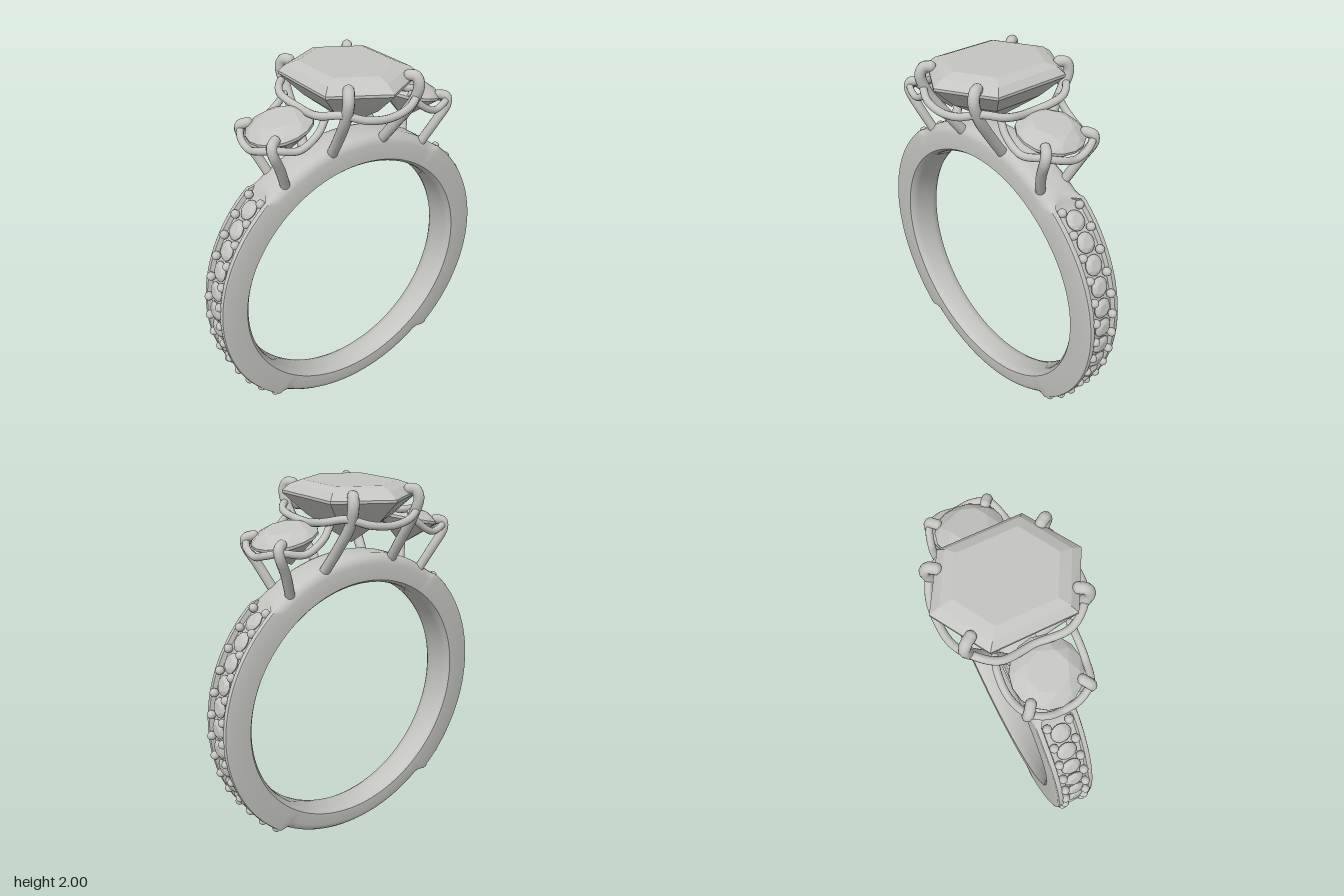
import * as THREE from 'three';
import { toCreasedNormals } from 'three/addons/utils/BufferGeometryUtils.js';
import { ConvexGeometry } from 'three/addons/geometries/ConvexGeometry.js';

const metal = new THREE.MeshStandardMaterial({ color: 0xc4c4c0 });
metal.name = 'pale grey';
const CY = 0.81; // centre height of the finger hole
const V = (x, y, z) => new THREE.Vector3(x, y, z);

function add(parent, name, geometry) {
  const mesh = new THREE.Mesh(geometry, metal);
  mesh.name = name;
  parent.add(mesh);
  return mesh;
}

// Band: a closed cross-section swept round the hole, with a channel for the small stones
function bandSection(theta) {
  const rise = Math.sin(theta);
  const elevation = THREE.MathUtils.radToDeg(Math.asin(THREE.MathUtils.clamp(rise, -1, 1)));
  const solid = THREE.MathUtils.smoothstep(Math.abs(elevation), 50, 53);
  const w = Math.min(0.11, 0.08 + 0.022 * (CY + 0.81 * rise));
  const R = rise > 0 ? 0.825 : 0.81;
  const plain = [[R - 0.05, w], [R - 0.025, w - 0.008], [R - 0.009, w - 0.025], [R, w - 0.05], [R, 0.015], [R, 0]];
  const channel = [[0.815, w], [0.826, w - 0.004], [0.83, w - 0.012], [0.828, w - 0.028], [0.805, w - 0.034], [0.805, 0]];
  const outer = plain.map((p, i) => p.map((v, k) => THREE.MathUtils.lerp(channel[i][k], v, solid)));
  const half = [[0.67, 0], [0.67, w - 0.045], [0.675, w - 0.02], [0.69, w], ...outer];
  return [...half, ...half.slice(1, -1).reverse().map(([r, z]) => [r, -z])];
}

function bandGeometry(steps = 180) {
  const positions = [], index = [];
  let n = 0;
  for (let i = 0; i < steps; i++) {
    const t = (i / steps) * Math.PI * 2;
    const section = bandSection(t);
    n = section.length;
    for (const [r, z] of section) positions.push(r * Math.cos(t), CY + r * Math.sin(t), z);
  }
  for (let i = 0; i < steps; i++) {
    for (let j = 0; j < n; j++) {
      const k = (j + 1) % n, next = (i + 1) % steps;
      const a = i * n + j, c = i * n + k, b = next * n + j, d = next * n + k;
      index.push(a, c, b, c, d, b);
    }
  }
  const g = new THREE.BufferGeometry();
  g.setAttribute('position', new THREE.Float32BufferAttribute(positions, 3));
  g.setIndex(index);
  return toCreasedNormals(g, 0.75);
}

// Faceted round stone, girdle at the origin, table facing +y
function roundGem(r, crown, depth) {
  const pts = [V(0, -depth, 0)];
  const ring = (count, radius, y, turn) => {
    for (let i = 0; i < count; i++) {
      const a = ((i + turn) / count) * Math.PI * 2;
      pts.push(V(radius * Math.cos(a), y, radius * Math.sin(a)));
    }
  };
  ring(8, r * 0.58, crown, 0);
  ring(8, r * 0.84, crown * 0.62, 0.5);
  ring(16, r, 0.04 * r, 0);
  ring(16, r, -0.04 * r, 0);
  return new ConvexGeometry(pts);
}

// Step-cut hexagonal stone: each level is [y, half width, shoulder z, tip z]
function hexGem(levels) {
  const pts = [];
  for (const [y, x, s, tip] of levels) {
    for (const m of [-1, 1]) pts.push(V(x, y, m * s), V(-x, y, m * s), V(0, y, m * tip));
  }
  return new ConvexGeometry(pts);
}

// Round wire through points, with rounded ends when open
function wire(parent, name, points, radius, closed = false) {
  const curve = new THREE.CatmullRomCurve3(points, closed);
  const group = new THREE.Group();
  group.name = name;
  parent.add(group);
  add(group, name + 'Wire', new THREE.TubeGeometry(curve, points.length * 10, radius, 12, closed));
  if (!closed) {
    for (const p of [points[0], points[points.length - 1]]) {
      add(group, name + 'End', new THREE.SphereGeometry(radius, 12, 8)).position.copy(p);
    }
  }
}

export function createModel() {
  const model = new THREE.Group();
  model.name = 'threeStoneRing';
  add(model, 'band', bandGeometry());

  // Small stones and bead prongs along both flanks
  const smallGem = roundGem(0.052, 0.018, 0.04);
  const bead = new THREE.SphereGeometry(0.023, 12, 8);
  for (const side of [1, -1]) {
    const flank = new THREE.Group();
    flank.name = side > 0 ? 'leftFlankStones' : 'rightFlankStones';
    model.add(flank);
    const place = (mesh, r, a, z) => {
      mesh.position.set(side * r * Math.cos(a), CY + r * Math.sin(a), z);
      mesh.rotation.z = side * (a - Math.PI / 2);
    };
    for (let i = 0; i <= 12; i++) {
      const a = THREE.MathUtils.degToRad(-48.5 + (97 / 12) * i);
      for (const z of [-0.058, 0.058]) place(add(flank, 'beadProng', bead), 0.825, a, z);
      if (i < 12) place(add(flank, 'smallStone', smallGem), 0.814, a + THREE.MathUtils.degToRad(97 / 24), 0);
    }
  }

  // Centre stone
  add(model, 'centreStone', hexGem([
    [2.0, 0.187, 0.145, 0.25],
    [1.98, 0.235, 0.18, 0.31],
    [1.948, 0.265, 0.205, 0.36],
    [1.935, 0.265, 0.205, 0.36],
    [1.83, 0.172, 0.135, 0.245],
    [1.69, 0.004, 0.01, 0.02],
  ]));

  // Wavy rail under the centre stone
  const quarter = [[0, 1.825, 0.33], [0.12, 1.84, 0.317], [0.215, 1.87, 0.265], [0.28, 1.85, 0.17], [0.268, 1.825, 0]];
  const rail = [
    ...quarter,
    ...quarter.slice(0, -1).reverse().map(([x, y, z]) => [x, y, -z]),
    ...quarter.slice(1).map(([x, y, z]) => [-x, y, -z]),
    ...quarter.slice(1, -1).reverse().map(([x, y, z]) => [-x, y, z]),
  ];
  wire(model, 'centreRail', rail.map((p) => V(...p)), 0.019, true);

  for (const sx of [1, -1]) {
    // Centre prongs
    for (const sz of [1, -1]) {
      const foot = sz > 0 ? 0.15 : 0.215;
      wire(model, 'centreProng', [
        V(sx * foot, 1.58, sz * 0.075), V(sx * (foot + 0.19) / 2, 1.7, sz * 0.165),
        V(sx * 0.195, 1.84, sz * 0.262), V(sx * 0.2, 1.93, sz * 0.292),
        V(sx * 0.19, 1.968, sz * 0.277), V(sx * 0.172, 1.97, sz * 0.25),
      ], 0.027);
      // Side prongs
      wire(model, 'sideProng', [
        V(sx * 0.42, 1.5, sz * 0.08), V(sx * 0.47, 1.62, sz * 0.128),
        V(sx * 0.515, 1.715, sz * 0.155), V(sx * 0.515, 1.752, sz * 0.148),
        V(sx * 0.485, 1.765, sz * 0.125),
      ], 0.025);
    }

    // Side stone, tilted outward
    const gem = add(model, sx > 0 ? 'leftStone' : 'rightStone', roundGem(0.165, 0.05, 0.145));
    gem.position.set(sx * 0.388, 1.765, 0);
    gem.rotation.z = -sx * 0.23;

    // Rail round the side stone, ending at the centre rail
    const arm = [[0.25, 1.835, 0.18], [0.3, 1.775, 0.192], [0.4, 1.72, 0.19], [0.505, 1.735, 0.155], [0.55, 1.715, 0.08]];
    const loop = [...arm, [0.555, 1.695, 0], ...arm.slice().reverse().map(([x, y, z]) => [x, y, -z])];
    wire(model, 'sideRail', loop.map(([x, y, z]) => V(sx * x, y, z)), 0.018);
  }
  return model;
}
